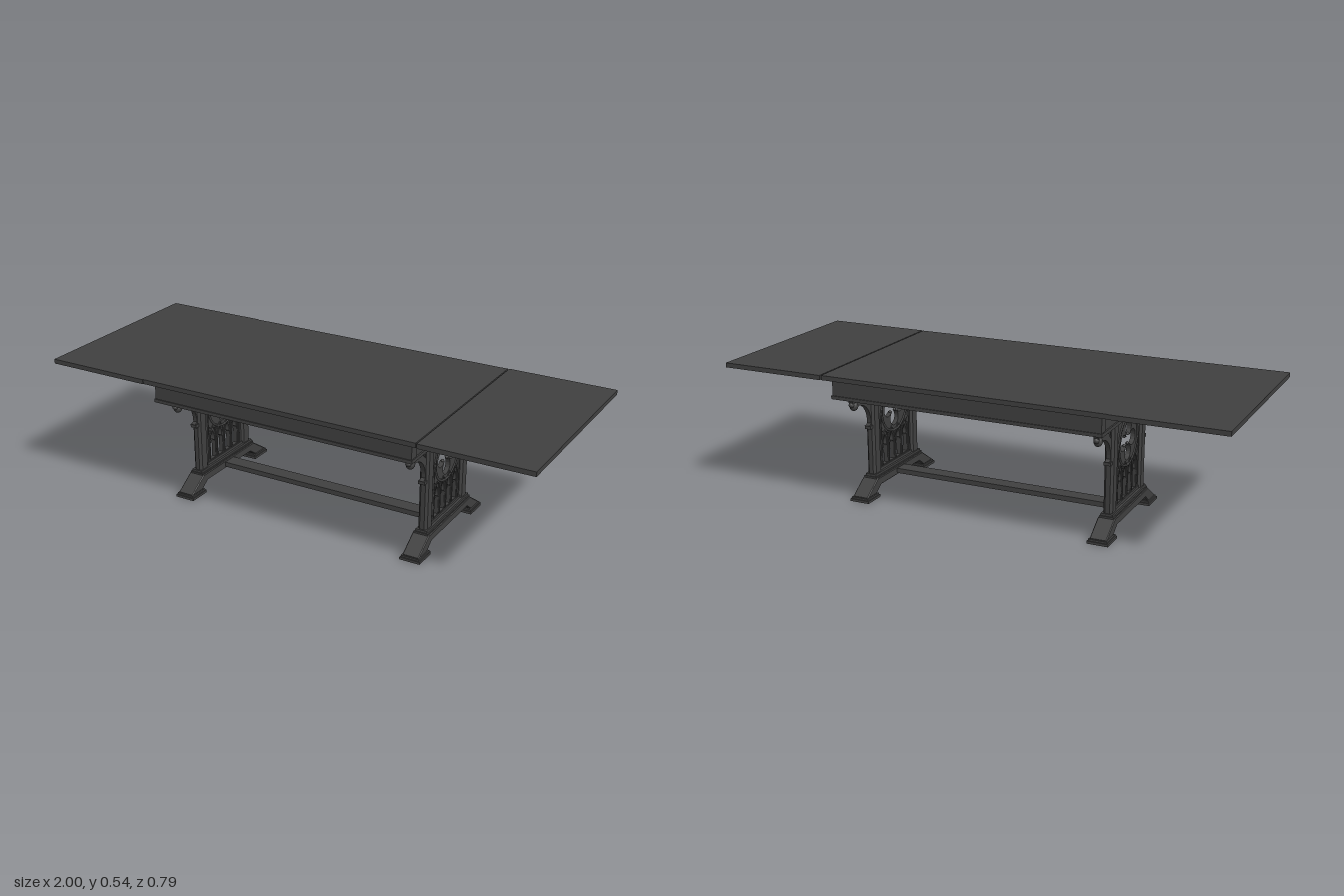
import * as THREE from 'three';

const material = new THREE.MeshStandardMaterial({ color: 0x404040 });
const LEG_X = 0.498;

function add(parent, name, geometry, x = 0, y = 0, z = 0) {
  const mesh = new THREE.Mesh(geometry, material);
  mesh.name = name;
  mesh.position.set(x, y, z);
  parent.add(mesh);
  return mesh;
}

function box(parent, name, x0, x1, y0, y1, z0, z1) {
  return add(parent, name, new THREE.BoxGeometry(x1 - x0, y1 - y0, z1 - z0),
    (x0 + x1) / 2, (y0 + y1) / 2, (z0 + z1) / 2);
}

// A shape drawn in (z, y), extruded along x and centred on x = 0
function slab(shape, thickness, bevel = 0) {
  const depth = thickness - 2 * bevel;
  const g = new THREE.ExtrudeGeometry(shape, {
    depth, curveSegments: 10, bevelEnabled: bevel > 0,
    bevelThickness: bevel, bevelSize: bevel, bevelOffset: -bevel, bevelSegments: 1,
  });
  g.translate(0, 0, -depth / 2);
  g.rotateY(-Math.PI / 2);
  return g;
}

const points = (list, s = 1) => list.map(([z, y]) => new THREE.Vector2(z * s, y));

// Four round lobes meeting at inward cusps
function quatrefoil(cz, cy, reach, r, cusp) {
  const pts = [];
  for (let k = 0; k < 4; k++) {
    const c = Math.cos(k * Math.PI / 2), s = Math.sin(k * Math.PI / 2);
    const put = (u, v) => pts.push(new THREE.Vector2(cz + u * c - v * s, cy + u * s + v * c));
    for (let i = 0; i <= 14; i++) {
      const a = (-130 + 260 * i / 14) * Math.PI / 180;
      put(reach + r * Math.cos(a), r * Math.sin(a));
    }
    put(cusp, cusp);
  }
  return new THREE.Path(pts);
}

// Pointed window with a cusped head
function lancet(cz) {
  const p = new THREE.Path();
  p.moveTo(cz - 0.0165, 0.104);
  p.lineTo(cz + 0.0165, 0.104);
  p.lineTo(cz + 0.0165, 0.168);
  p.quadraticCurveTo(cz + 0.0165, 0.18, cz + 0.009, 0.181);
  p.quadraticCurveTo(cz + 0.018, 0.2, cz, 0.226);
  p.quadraticCurveTo(cz - 0.018, 0.2, cz - 0.009, 0.181);
  p.quadraticCurveTo(cz - 0.0165, 0.18, cz - 0.0165, 0.168);
  p.closePath();
  return p;
}

// Raised pointed moulding lying on the plane x = const
function pointedArch(parent, name, x, cz, half, foot, spring, apex, r) {
  const path = new THREE.CurvePath();
  const v = (z, y) => new THREE.Vector3(x, y, cz + z);
  const rise = spring + (apex - spring) * 0.65;
  path.add(new THREE.LineCurve3(v(-half, foot), v(-half, spring)));
  path.add(new THREE.QuadraticBezierCurve3(v(-half, spring), v(-half, rise), v(0, apex)));
  path.add(new THREE.QuadraticBezierCurve3(v(0, apex), v(half, rise), v(half, spring)));
  path.add(new THREE.LineCurve3(v(half, spring), v(half, foot)));
  add(parent, name, new THREE.TubeGeometry(path, 40, r, 6));
}

function tracery(parent) {
  const panel = new THREE.Shape(points([[-0.13, 0.086], [0.13, 0.086], [0.13, 0.442], [-0.13, 0.442]]));
  panel.holes.push(quatrefoil(0, 0.32, 0.046, 0.031, 0.017));
  const lancets = [-0.0775, -0.0258, 0.0258, 0.0775];
  lancets.forEach(z => panel.holes.push(lancet(z)));
  for (const s of [-1, 1]) {
    panel.holes.push(quatrefoil(s * 0.0517, 0.229, 0.008, 0.005, 0.004));
    // small openings beside the ring
    panel.holes.push(new THREE.Path(points([[0.104, 0.25], [0.086, 0.236], [0.104, 0.226]], s)));
  }
  add(parent, 'traceryPanel', slab(panel, 0.018));

  // mouldings and cusp beads on both faces
  for (const side of [-1, 1]) {
    const x = side * 0.009;
    add(parent, 'roundMoulding', new THREE.TorusGeometry(0.098, 0.005, 6, 48).rotateY(Math.PI / 2), x, 0.322, 0);
    pointedArch(parent, 'outerArch', x, 0, 0.108, 0.1, 0.29, 0.428, 0.004);
    lancets.forEach(z => pointedArch(parent, 'windowArch', x, z, 0.0225, 0.103, 0.185, 0.244, 0.003));
    box(parent, 'panelSill', Math.min(0, x * 1.5), Math.max(0, x * 1.5), 0.088, 0.1, -0.125, 0.125);
  }
  for (const z of [-0.018, 0.018]) for (const dy of [-0.018, 0.018])
    add(parent, 'cuspBead', new THREE.SphereGeometry(0.006, 10, 8), 0, 0.32 + dy, z);
}

function bracket(parent, s) {
  const shape = new THREE.Shape();
  shape.moveTo(s * 0.17, 0.442);
  shape.lineTo(s * 0.17, 0.276);
  shape.lineTo(s * 0.186, 0.28);
  shape.lineTo(s * 0.193, 0.292);
  shape.lineTo(s * 0.178, 0.3);
  shape.bezierCurveTo(s * 0.179, 0.355, s * 0.21, 0.39, s * 0.27, 0.396);
  shape.lineTo(s * 0.306, 0.404);
  shape.quadraticCurveTo(s * 0.3, 0.424, s * 0.325, 0.428);
  shape.lineTo(s * 0.337, 0.442);
  const holes = [
    [[0.18, 0.428], [0.19, 0.41], [0.18, 0.38], [0.198, 0.396], [0.203, 0.414], [0.193, 0.426]],
    [[0.206, 0.428], [0.215, 0.414], [0.238, 0.411], [0.262, 0.422], [0.24, 0.424], [0.226, 0.43]],
  ];
  holes.forEach(h => shape.holes.push(new THREE.Path(points(h, s))));
  add(parent, 'bracket', slab(shape, 0.018));
  // carved boss, corbel and cap
  const boss = add(parent, 'bracketBoss', new THREE.SphereGeometry(0.019, 14, 10), 0, 0.398, s * 0.284);
  boss.scale.set(0.85, 1, 1);
  add(parent, 'bossLobe', new THREE.SphereGeometry(0.011, 10, 8), 0, 0.406, s * 0.301);
  const zc = s * 0.18;
  box(parent, 'bracketCorbel', -0.013, 0.013, 0.278, 0.291, zc - 0.011, zc + 0.011);
  const zm = s * 0.252;
  box(parent, 'bracketCap', -0.014, 0.014, 0.431, 0.442, zm - 0.08, zm + 0.08);
}

function endSupport() {
  const g = new THREE.Group();
  g.name = 'endSupport';
  tracery(g);
  // base bar with splayed feet
  const half = [[0.155, 0.043], [0.192, 0.016], [0.262, 0.016], [0.262, 0.02], [0.18, 0.075]];
  const outline = [...half, ...half.slice().reverse().map(([z, y]) => [-z, y])];
  add(g, 'splayedBase', slab(new THREE.Shape(points(outline)), 0.066, 0.003));
  box(g, 'baseMoulding', -0.028, 0.028, 0.073, 0.08, -0.184, 0.184);
  box(g, 'baseMouldingUpper', -0.023, 0.023, 0.079, 0.089, -0.18, 0.18);
  for (const s of [-1, 1]) {
    const z = s * 0.224;
    box(g, 'footPad', -0.041, 0.041, 0, 0.01, z - 0.046, z + 0.046);
    box(g, 'footPadUpper', -0.037, 0.037, 0.01, 0.017, z - 0.042, z + 0.042);
    // chamfered post
    const a = 0.018, b = 0.026, c = 0.009;
    const section = new THREE.Shape([[-a, -b + c], [-a + c, -b], [a - c, -b], [a, -b + c],
      [a, b - c], [a - c, b], [-a + c, b], [-a, b - c]].map(p => new THREE.Vector2(...p)));
    const post = new THREE.ExtrudeGeometry(section, { depth: 0.355, bevelEnabled: false });
    post.rotateX(-Math.PI / 2);
    add(g, 'post', post, 0, 0.087, s * 0.149);
    bracket(g, s);
  }
  return g;
}

export function createModel() {
  const table = new THREE.Group();
  table.name = 'table';

  // top with two draw leaves
  box(table, 'centreTop', -0.57, 0.568, 0.52, 0.538, -0.394, 0.394);
  box(table, 'rightLeaf', -1, -0.57, 0.52, 0.538, -0.397, 0.397);
  box(table, 'leftLeaf', 0.573, 1, 0.52, 0.538, -0.397, 0.397);

  // hollow apron with a lower moulding
  for (const s of [-1, 1]) {
    const span = (a, b) => [Math.min(s * a, s * b), Math.max(s * a, s * b)];
    box(table, 'sideApron', -0.54, 0.54, 0.452, 0.52, ...span(0.325, 0.363));
    box(table, 'sideMoulding', -0.544, 0.544, 0.442, 0.455, ...span(0.322, 0.367));
    box(table, 'endApron', ...span(0.475, 0.538), 0.452, 0.52, -0.325, 0.325);
    box(table, 'endMoulding', ...span(0.472, 0.544), 0.442, 0.455, -0.322, 0.322);
  }

  // pierced end supports joined by a stretcher
  for (const s of [-1, 1]) {
    const support = endSupport();
    support.position.x = s * LEG_X;
    table.add(support);
  }
  box(table, 'stretcher', -0.48, 0.48, 0.05, 0.07, -0.03, 0.03);
  return table;
}
